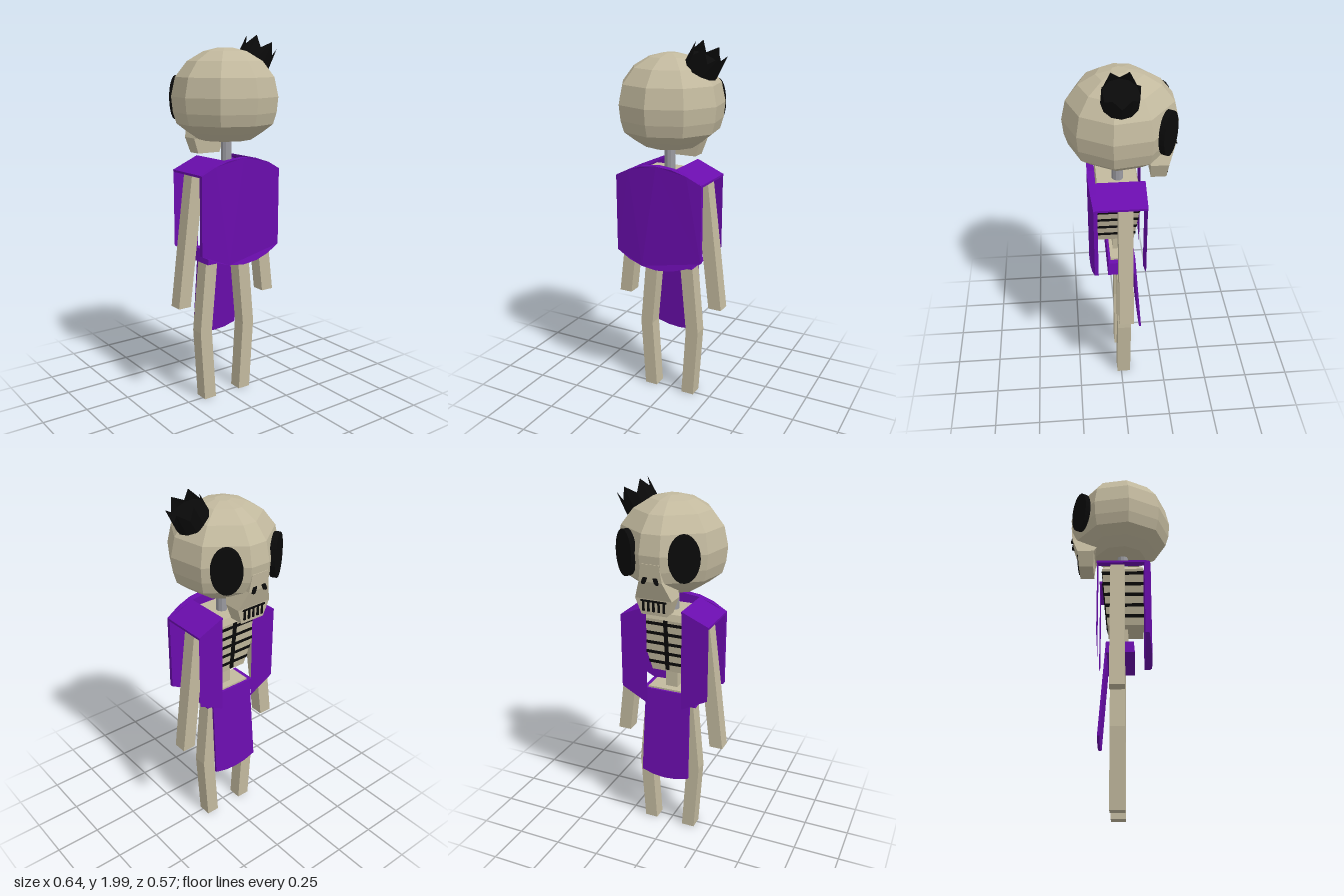
import * as THREE from 'three';

const mat = (color) => new THREE.MeshStandardMaterial({ color, flatShading: true, side: THREE.DoubleSide });

// Skin a stack of horizontal rings, bottom to top, each counterclockwise from above
function loft(rings) {
  const pos = [];
  const n = rings[0].length;
  const tri = (a, b, c) => pos.push(...a, ...b, ...c);
  for (let r = 0; r < rings.length - 1; r++) {
    for (let i = 0; i < n; i++) {
      const j = (i + 1) % n, lo = rings[r], hi = rings[r + 1];
      tri(lo[i], lo[j], hi[j]);
      tri(lo[i], hi[j], hi[i]);
    }
  }
  const bottom = rings[0], top = rings[rings.length - 1];
  for (let i = 1; i < n - 1; i++) {
    tri(bottom[0], bottom[i + 1], bottom[i]);
    tri(top[0], top[i], top[i + 1]);
  }
  const g = new THREE.BufferGeometry();
  g.setAttribute('position', new THREE.Float32BufferAttribute(pos, 3));
  g.computeVertexNormals();
  return g;
}

// Rectangular ring, centred on cx, from z0 to z1
const rect = (y, cx, hw, z0, z1) =>
  [[cx - hw, y, z1], [cx + hw, y, z1], [cx + hw, y, z0], [cx - hw, y, z0]];

const outline = (pts) => new THREE.Shape(pts.map(([x, y]) => new THREE.Vector2(x, y)));

export function createModel() {
  const model = new THREE.Group();
  const bone = mat(0xc2b99e), purple = mat(0x6a0dad), black = mat(0x0a0a0a), grey = mat(0x9a9aa0);
  const add = (name, geometry, material, x = 0, y = 0, z = 0) => {
    const m = new THREE.Mesh(geometry, material);
    m.name = name;
    m.position.set(x, y, z);
    model.add(m);
    return m;
  };

  // Nine-sided skull, with the two face columns (toward -z) pulled into a flat brow
  const profile = [[1.455, 0.14], [1.495, 0.2], [1.54, 0.258], [1.6, 0.276], [1.68, 0.284],
    [1.78, 0.262], [1.86, 0.2], [1.91, 0.115], [1.928, 0.04]];
  add('skull', loft(profile.map(([y, r]) => Array.from({ length: 9 }, (_, i) => {
    const a = i * Math.PI * 2 / 9;
    const brow = i === 4 || i === 5;
    return [r * Math.sin(a) * (brow ? 0.57 : 1), y, r * Math.cos(a) * (brow ? 1.07 : 1)];
  }))), bone);

  // Snout and upper jaw
  add('jaw', loft([
    rect(1.365, 0, 0.07, -0.235, -0.155), rect(1.45, 0, 0.1, -0.243, -0.15),
    rect(1.55, 0, 0.062, -0.277, -0.1), rect(1.64, 0, 0.05, -0.285, -0.1),
  ]), bone);
  for (let i = -2; i <= 2; i++) {
    add('toothGap', new THREE.BoxGeometry(0.012, 0.06, 0.02), black, i * 0.028, 1.415, -0.234);
  }
  add('mouthLine', new THREE.BoxGeometry(0.14, 0.01, 0.02), black, 0, 1.44, -0.236);

  // Eye sockets and nostrils
  for (const s of [-1, 1]) {
    const eye = new THREE.CylinderGeometry(1, 1, 0.03, 24).rotateX(Math.PI / 2).scale(0.078, 0.118, 1);
    add('eyeSocket', eye, black, s * 0.155, 1.668, -0.222).rotation.y = s * (Math.PI - 0.588);
    const nostril = new THREE.CylinderGeometry(1, 1, 0.02, 10).rotateX(Math.PI / 2).scale(0.012, 0.026, 1);
    add('nostril', nostril, black, s * 0.03, 1.56, -0.272).rotation.set(0.25, 0, s * 0.4);
  }

  // Small crown: a ring of spikes on a tilted base
  const crown = new THREE.Group();
  crown.name = 'crown';
  crown.position.set(0.18, 1.865, 0.01);
  crown.rotation.z = -0.51;
  const wall = new THREE.CylinderGeometry(0.088, 0.092, 0.1, 12, 1, true);
  const p = wall.attributes.position;
  for (let i = 0; i < p.count; i++) {
    const spike = (i % 13) % 2 === 0;
    p.setY(i, i < 13 ? (spike ? 0.105 : 0.05) : -0.02);
  }
  crown.add(new THREE.Mesh(wall, black));
  const base = new THREE.Mesh(new THREE.CylinderGeometry(0.088, 0.09, 0.06, 12), black);
  base.position.y = 0.01;
  crown.add(base);
  model.add(crown);

  // Neck, rib cage, spine and pelvis
  add('neck', new THREE.CylinderGeometry(0.03, 0.03, 0.22, 10), grey, 0, 1.38, 0.01);
  const chestHalf = (y) => 0.09 + (y - 0.99) * 0.27;
  const chestFront = (y) => -0.07 - (y - 0.99) * 0.1;
  const chestRing = (y, o = 0) => rect(y, 0, chestHalf(y) + o, chestFront(y) - o, 0.125);
  add('ribCage', loft([chestRing(0.99), chestRing(1.29), rect(1.325, 0, 0.13, -0.09, 0.12)]), bone);
  for (let i = 0; i < 5; i++) {
    const y = 1.03 + i * 0.057;
    add('ribGap', loft([chestRing(y, 0.003), chestRing(y + 0.017, 0.003)]), black);
  }
  add('sternumLine', loft([1, 1.29].map((y) =>
    rect(y, 0, 0.011, chestFront(y) - 0.006, chestFront(y) + 0.01))), black);
  add('spine', new THREE.BoxGeometry(0.07, 0.18, 0.06), bone, 0, 0.93, 0.01);
  add('pelvis', new THREE.BoxGeometry(0.24, 0.06, 0.12), bone, 0, 0.848, -0.002);

  // Belt and front loincloth
  add('belt', loft([rect(0.8, 0, 0.165, -0.075, 0.075), rect(0.868, 0, 0.15, -0.075, 0.07)]), purple);
  const cloth = new THREE.ExtrudeGeometry(outline([[-0.13, 0.87], [-0.14, 0.365], [-0.07, 0.346],
    [0, 0.34], [0.07, 0.346], [0.14, 0.365], [0.13, 0.87]]), { depth: 0.012, bevelEnabled: false });
  const c = cloth.attributes.position;
  for (let i = 0; i < c.count; i++) c.setZ(i, c.getZ(i) - 0.118 + (c.getY(i) - 0.34) * 0.077);
  cloth.computeVertexNormals();
  add('loincloth', cloth, purple);

  // Back cape: arched top and bottom edges, slightly bulged outward
  const xs = [-0.25, -0.17, -0.09, 0, 0.09, 0.17, 0.25];
  const arch = (x) => 1 - (x / 0.25) ** 2;
  const cape = new THREE.ExtrudeGeometry(outline([
    ...xs.map((x) => [x, 0.875 - 0.075 * arch(x)]),
    ...[...xs].reverse().map((x) => [x, 1.295 + 0.078 * arch(x)]),
  ]), { depth: 1, bevelEnabled: false });
  const q = cape.attributes.position;
  for (let i = 0; i < q.count; i++) q.setZ(i, q.getZ(i) > 0.5 ? 0.15 + 0.02 * arch(q.getX(i)) : 0.13);
  cape.computeVertexNormals();
  add('cape', cape, purple);

  // Bent square limb through [x, y] joints, bottom to top
  const limb = (s, path) => loft(path.map(([x, y]) => rect(y, s * x, 0.037, -0.053, 0.024)));

  for (const s of [-1, 1]) {
    // Shoulder strap and thin front panel of the cape
    add('shoulderStrap', loft([
      [[0.1, 1.35], [0.25, 1.285]], [[0.1, 1.362], [0.25, 1.297]],
    ].map(([a, b]) => {
      const [l, r] = s > 0 ? [a, b] : [b, a];
      return [[s * l[0], l[1], 0.14], [s * r[0], r[1], 0.14], [s * r[0], r[1], -0.125], [s * l[0], l[1], -0.125]];
    })), purple);
    add('frontPanel', new THREE.ShapeGeometry(outline([[s * 0.1, 1.36], [s * 0.1, 0.8],
      [s * 0.25, 0.88], [s * 0.25, 1.296]])), purple, 0, 0, -0.122);

    add('arm', limb(s, [[0.281, 0.568], [0.243, 0.87], [0.19, 1.285]]), bone);
    add('leg', limb(s, [[0.118, 0], [0.144, 0.4], [0.102, 0.84]]), bone);
  }

  return model;
}
